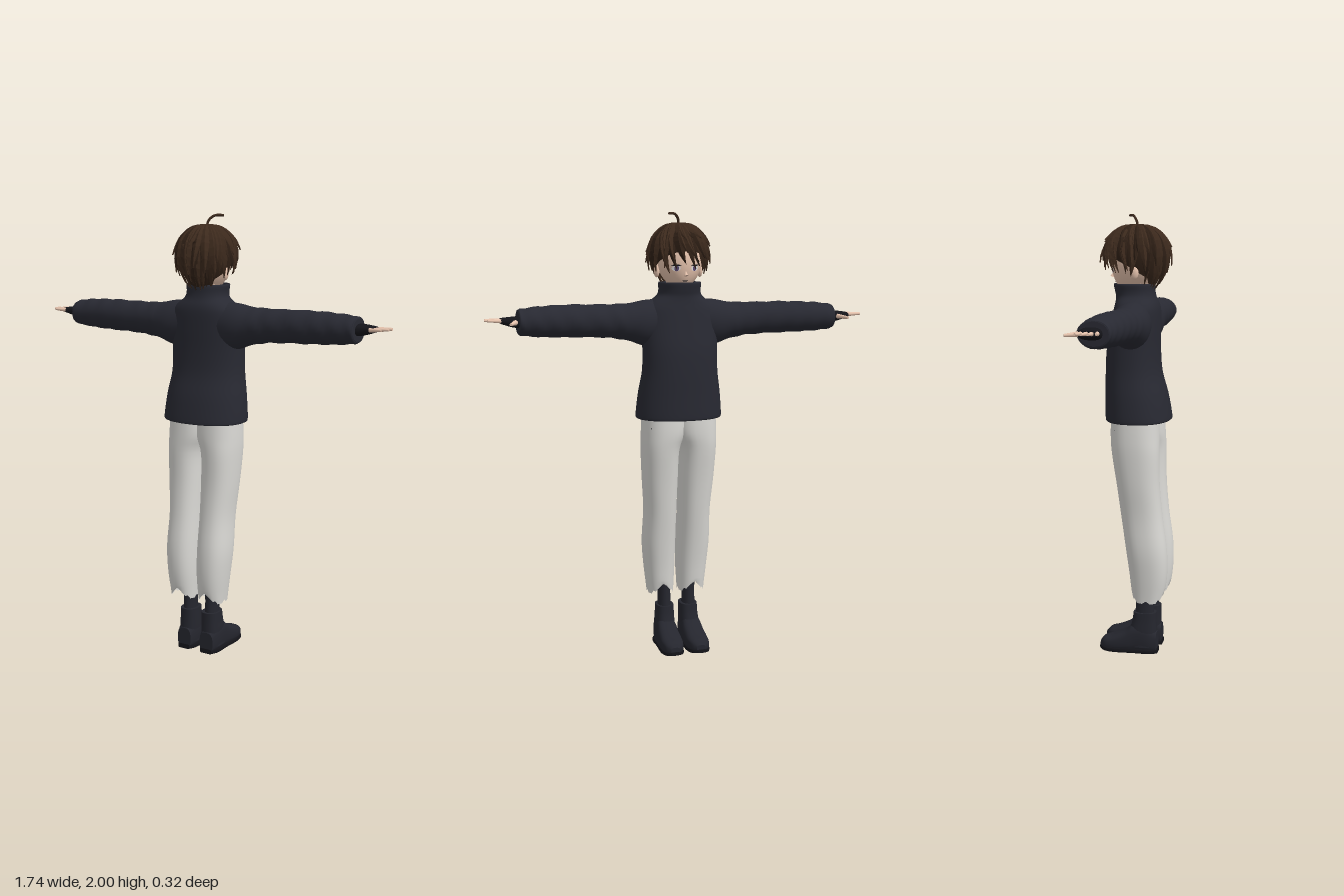
import * as THREE from 'three';
import { mergeGeometries } from 'three/addons/utils/BufferGeometryUtils.js';

const mat = (name, color, side = THREE.FrontSide) => {
  const m = new THREE.MeshStandardMaterial({ color, side });
  m.name = name;
  return m;
};

// Smooth loft along an axis; rows are [t, aMin, aMax, bMin, bMax], p is the squareness of the section
function loft(axis, rows, { n = 28, p = 2, sub = 4, caps = true, s = 1, warp = null } = {}) {
  const curve = k => new THREE.CatmullRomCurve3(rows.map(r => new THREE.Vector3(r[0], r[k], r[k + 1])), false, 'catmullrom');
  const A = curve(1), B = curve(3), steps = (rows.length - 1) * sub;
  const pos = [], idx = [];
  const put = (t, a, b) => {
    const v = axis === 'y' ? [a, t, b] : axis === 'x' ? [t, a, b] : [a, b, t];
    pos.push(v[0] * s, v[1], v[2]);
  };
  const pw = c => Math.sign(c) * Math.abs(c) ** (2 / p);
  const ring = u => {
    const a = A.getPoint(u), b = B.getPoint(u);
    for (let j = 0; j < n; j++) {
      const q = j / n * Math.PI * 2, c = pw(Math.cos(q)), d = pw(Math.sin(q));
      const w = warp ? warp(u, q, j) : { t: 0, k: 1 };
      put(a.x + w.t, (a.y + a.z) / 2 + (a.z - a.y) / 2 * c * w.k, (b.y + b.z) / 2 + (b.z - b.y) / 2 * d * w.k);
    }
    return [a.x, (a.y + a.z) / 2, (b.y + b.z) / 2];
  };
  for (let i = 0; i <= steps; i++) ring(i / steps);
  for (let i = 0; i < steps; i++) for (let j = 0; j < n; j++) {
    const k = (j + 1) % n, o = i * n;
    idx.push(o + j, o + k, o + n + j, o + k, o + n + k, o + n + j);
  }
  if (caps) for (const e of [0, 1]) {
    const o = pos.length / 3, c = ring(e);
    put(...c);
    for (let j = 0; j < n; j++) {
      const k = (j + 1) % n;
      idx.push(o + n, o + (e ? j : k), o + (e ? k : j));
    }
  }
  // Turn all faces outward
  const P = i => new THREE.Vector3().fromArray(pos, i * 3), base = P(0).add(P(n >> 1)).multiplyScalar(0.5);
  let vol = 0;
  for (let i = 0; i < idx.length; i += 3) {
    const [x, y, z] = [0, 1, 2].map(k => P(idx[i + k]).sub(base));
    vol += x.dot(y.cross(z));
  }
  if (vol < 0) for (let i = 0; i < idx.length; i += 3) [idx[i], idx[i + 1]] = [idx[i + 1], idx[i]];
  const g = new THREE.BufferGeometry();
  g.setAttribute('position', new THREE.Float32BufferAttribute(pos, 3));
  g.setIndex(idx);
  g.computeVertexNormals();
  return g;
}

// Tapered rod between two points
function rod(p, q, r0, r1) {
  const a = new THREE.Vector3(...p), b = new THREE.Vector3(...q), d = b.clone().sub(a);
  const g = new THREE.CylinderGeometry(r1, r0, d.length(), 10);
  g.applyQuaternion(new THREE.Quaternion().setFromUnitVectors(new THREE.Vector3(0, 1, 0), d.normalize()));
  return g.translate(...a.add(b).multiplyScalar(0.5).toArray());
}

// Face surface shared by the head and the painted features
const HEAD = { y: 1.785, z: -0.008 };
const taper = ny => ny < 0 ? 1 - 0.38 * ny * ny : 1;
function faceZ(x, y) {
  const ny = (y - HEAD.y) / 0.13, nx = x / (0.1 * taper(ny));
  return HEAD.z - 0.108 * Math.sqrt(Math.max(0, 1 - nx * nx - ny * ny)) - (ny < 0 ? 0.02 * ny * ny : 0);
}
function facePatch(x, y, w, h, lift) {
  const g = new THREE.CircleGeometry(1, 20).scale(w, h, 1).rotateY(Math.PI).translate(x, y, 0);
  const p = g.attributes.position;
  for (let i = 0; i < p.count; i++) p.setZ(i, faceZ(p.getX(i), p.getY(i)) - lift);
  g.computeVertexNormals();
  return g;
}

// Hair envelope: phi = 0 is the face side, t runs from crown to nape
const hairProfile = new THREE.CatmullRomCurve3(
  [[0, 1.955], [0.42, 1.945], [0.76, 1.912], [0.95, 1.868], [1, 1.82], [0.94, 1.77], [0.78, 1.72], [0.5, 1.665]]
    .map(([r, y]) => new THREE.Vector3(r, y, 0)));
function hairPoint(phi, t, lift = 0) {
  const q = hairProfile.getPoint(Math.min(t, 1)), c = Math.cos(phi);
  return new THREE.Vector3(Math.sin(phi) * q.x * (0.12 + lift), q.y, -c * q.x * ((c > 0 ? 0.142 : 0.132) + lift));
}
// One pointed lock with a raised ridge
function lock(phi, sweep, t0, t1, width, lift, flare) {
  const pos = [], idx = [], N = 8;
  for (let i = 0; i <= N; i++) {
    const u = i / N, f = phi + sweep * u * u, w = width * Math.min(1, 0.35 + u * 2.2) * (1 - u ** 2.2);
    const c = hairPoint(f, t0 + (t1 - t0) * u, lift + flare * u ** 3);
    const side = new THREE.Vector3(Math.cos(f), 0, Math.sin(f)), out = new THREE.Vector3(Math.sin(f), 0.4, -Math.cos(f));
    for (const k of [-1, 0, 1])
      pos.push(...c.clone().addScaledVector(side, k * w).addScaledVector(out, k ? -0.005 : 0.35 * w).toArray());
    if (i < N) for (const k of [0, 1]) {
      const o = i * 3 + k;
      idx.push(o, o + 3, o + 1, o + 1, o + 3, o + 4);
    }
  }
  const g = new THREE.BufferGeometry();
  g.setAttribute('position', new THREE.Float32BufferAttribute(pos, 3));
  g.setIndex(idx);
  const flat = g.toNonIndexed();
  flat.computeVertexNormals();
  return flat;
}

export function createModel() {
  const root = new THREE.Group();
  const two = THREE.DoubleSide;
  const jacket = mat('jacket navy', 0x282932, two), trousers = mat('trouser grey', 0xd9d8d4, two);
  const boot = mat('boot charcoal', 0x25262e), skin = mat('skin', 0xe6c3ad), black = mat('dark detail', 0x15151a, two);
  const hair = mat('hair brown', 0x3d2a1d, two), hairDark = mat('hair shade brown', 0x2e1f15, two);
  const white = mat('eye white', 0xeeeaea, two), iris = mat('iris violet', 0x5b4a72, two);
  const add = (name, geo, material) => {
    const m = new THREE.Mesh(geo, material);
    m.name = name;
    root.add(m);
  };

  // Jacket body with stand collar folded inward
  add('jacketBody', loft('y', [
    [1.085, -0.19, 0.19, -0.135, 0.15], [1.1, -0.196, 0.196, -0.14, 0.153], [1.2, -0.187, 0.187, -0.14, 0.135],
    [1.3, -0.172, 0.172, -0.14, 0.108], [1.4, -0.17, 0.17, -0.135, 0.1], [1.5, -0.172, 0.172, -0.118, 0.1],
    [1.57, -0.165, 0.165, -0.105, 0.1], [1.605, -0.14, 0.14, -0.098, 0.095], [1.635, -0.102, 0.102, -0.095, 0.083],
    [1.66, -0.093, 0.093, -0.1, 0.078], [1.69, -0.095, 0.095, -0.106, 0.077], [1.692, -0.087, 0.087, -0.098, 0.069],
    [1.65, -0.083, 0.083, -0.09, 0.066]], { n: 40, p: 2.25 }), jacket);

  // Head, neck and face
  const head = new THREE.SphereGeometry(1, 32, 24), hp = head.attributes.position;
  for (let i = 0; i < hp.count; i++) {
    const x = hp.getX(i), y = hp.getY(i), z = hp.getZ(i);
    hp.setXYZ(i, x * 0.1 * taper(y), HEAD.y + y * 0.13, HEAD.z + z * 0.108 - (y < 0 ? 0.02 * y * y : 0));
  }
  head.computeVertexNormals();
  add('head', head, skin);
  add('neck', rod([0, 1.6, 0.005], [0, 1.75, 0.005], 0.058, 0.052), skin);
  add('nose', new THREE.ConeGeometry(0.009, 0.024, 8).rotateX(0.35).translate(0, 1.736, faceZ(0, 1.736) - 0.002), skin);
  add('mouth', facePatch(0, 1.702, 0.014, 0.002, 0.002), black);

  for (const s of [1, -1]) {
    const side = s > 0 ? 'left' : 'right';
    add(side + 'EyeWhite', facePatch(s * 0.042, 1.757, 0.018, 0.013, 0.002), white);
    add(side + 'Iris', facePatch(s * 0.041, 1.757, 0.009, 0.013, 0.003), iris);
    add(side + 'Lash', facePatch(s * 0.043, 1.77, 0.021, 0.003, 0.004), black);
    add(side + 'Ear', new THREE.SphereGeometry(1, 12, 10).scale(0.012, 0.03, 0.019).translate(s * 0.1, 1.745, 0.005), skin);

    // Padded sleeve with soft folds, and the inner cuff
    add(side + 'Sleeve', loft('x', [
      [0.07, 1.43, 1.622, -0.08, 0.08], [0.16, 1.415, 1.617, -0.09, 0.088], [0.24, 1.44, 1.603, -0.084, 0.08],
      [0.35, 1.455, 1.601, -0.075, 0.07], [0.5, 1.46, 1.602, -0.082, 0.066], [0.62, 1.464, 1.598, -0.088, 0.055],
      [0.715, 1.473, 1.588, -0.09, 0.047], [0.728, 1.482, 1.58, -0.082, 0.04]], {
      s, sub: 6, warp: (u, q) => ({ t: 0, k: 1 + (u > 0.3 && u < 0.95 ? 0.03 * Math.sin(u * 60 + 2 * Math.sin(q * 2)) : 0) }),
    }), jacket);
    add(side + 'Glove', loft('x', [
      [0.7, 1.503, 1.56, -0.075, 0.02], [0.75, 1.51, 1.556, -0.078, 0.012], [0.785, 1.52, 1.552, -0.07, 0.014],
      [0.803, 1.526, 1.549, -0.064, 0.018]], { s, n: 20, p: 2.6 }), black);

    // Fingers and thumb
    const fingers = [[-0.052, -0.06, 0.862], [-0.031, -0.034, 0.872], [-0.01, -0.008, 0.868], [0.009, 0.019, 0.845]]
      .map(([z0, z1, x]) => rod([s * 0.79, 1.538, z0], [s * x, 1.541, z1], 0.0095, 0.005));
    fingers.push(rod([s * 0.742, 1.533, -0.068], [s * 0.772, 1.528, -0.128], 0.012, 0.006));
    add(side + 'Fingers', mergeGeometries(fingers), skin);

    // Trouser leg with a ragged, notched hem
    add(side + 'TrouserLeg', loft('y', [
      [1.11, -0.03, 0.168, -0.105, 0.108], [1.02, -0.025, 0.172, -0.106, 0.113], [0.94, 0.002, 0.172, -0.098, 0.115],
      [0.8, 0.006, 0.165, -0.077, 0.117], [0.65, 0.008, 0.154, -0.057, 0.13], [0.5, 0.007, 0.157, -0.036, 0.15],
      [0.38, 0.008, 0.148, -0.02, 0.152], [0.26, 0.014, 0.134, -0.008, 0.137]], {
      s, n: 32, p: 2.3, caps: false,
      warp: (u, q, j) => ({
        t: u > 0.95 ? (u - 0.95) * 20 * (0.045 * Math.max(0, Math.cos(2 * (Math.abs(q - Math.PI) - 1.25)) * -1) ** 0
          * Math.abs(Math.sin(q)) ** 6 + (j % 4 === 0 ? 0.012 : 0) - 0.008) : 0,
        k: 1,
      }),
    }), trousers);
    const pocket = new THREE.BoxGeometry(0.008, 0.014, 0.026).rotateY(s * 0.5).translate(s * 0.15, 1.045, -0.062);
    add(side + 'PocketMark', pocket, black);

    // Sock and boot
    add(side + 'Sock', loft('y', [[0.16, 0.028, 0.09, 0, 0.09], [0.26, 0.03, 0.088, 0.005, 0.088],
      [0.36, 0.028, 0.095, 0.005, 0.1]], { s, n: 20 }), boot);
    add(side + 'BootShaft', loft('y', [[0.03, 0.014, 0.106, -0.035, 0.104], [0.1, 0.014, 0.104, -0.025, 0.102],
      [0.15, 0.015, 0.1, -0.012, 0.1], [0.192, 0.016, 0.098, -0.006, 0.1]], { s, n: 24, p: 2.5 }), boot);
    add(side + 'BootFoot', loft('z', [[0.104, 0.025, 0.095, 0, 0.1], [0.06, 0.014, 0.106, 0, 0.13],
      [0, 0.013, 0.107, 0, 0.135], [-0.04, 0.011, 0.11, 0.002, 0.105], [-0.1, 0.01, 0.112, 0.004, 0.077],
      [-0.14, 0.02, 0.104, 0.008, 0.065], [-0.16, 0.04, 0.082, 0.015, 0.045]], { s, n: 24, p: 2.8 }), boot);
    add(side + 'Sole', loft('z', [[0.108, 0.03, 0.09, 0, 0.022], [0.07, 0.012, 0.108, 0, 0.022], [0, 0.011, 0.109, 0, 0.022],
      [-0.09, 0.008, 0.114, 0, 0.022], [-0.14, 0.018, 0.106, 0.003, 0.024], [-0.163, 0.045, 0.08, 0.008, 0.024]],
    { s, n: 20, p: 6 }), black);
  }

  // Hair cap, cut higher over the face and ears
  const reach = phi => 0.74 - 0.2 * Math.cos(phi) + (Math.cos(phi) < -0.6 ? 0.04 : 0);
  const cap = new THREE.PlaneGeometry(1, 1, 40, 14), cp = cap.attributes.position;
  for (let i = 0; i < cp.count; i++)
    cp.setXYZ(i, ...hairPoint((cp.getX(i) + 0.5) * Math.PI * 2, (0.5 - cp.getY(i)) * reach((cp.getX(i) + 0.5) * Math.PI * 2), -0.006).toArray());
  cap.computeVertexNormals();
  add('hairCap', cap, hairDark);

  // Layered locks around the crown, fringe swept to one side
  let seed = 7;
  const rnd = () => (seed = (seed * 16807) % 2147483647) / 2147483647;
  const light = [], dark = [];
  for (const [count, t0, len, width, lift] of [[22, 0.25, 0.06, 0.022, 0], [20, 0.08, -0.06, 0.022, 0.005], [18, 0.01, -0.22, 0.02, 0.008]])
    for (let i = 0; i < count; i++) {
      const phi = (i + rnd() * 0.6) / count * Math.PI * 2, front = Math.cos(phi) > 0.3;
      const t1 = Math.min(1, reach(phi) + len + (front ? 0.1 : 0) + (rnd() - 0.5) * 0.12);
      (rnd() < 0.7 ? light : dark).push(
        lock(phi, front ? -0.3 : (rnd() - 0.5) * 0.3, t0, t1, width * (0.8 + rnd() * 0.5), lift, 0.012 + rnd() * 0.012));
    }
  // Flicked tips at the sides, back and fringe
  for (const [phi, sweep, t1, flare] of [[1.5, 0.1, 0.68, 0.035], [-1.5, -0.1, 0.7, 0.035], [1.9, 0.1, 0.78, 0.03], [-1.9, -0.1, 0.78, 0.03],
    [3.0, 0.2, 0.47, 0.025], [0.2, -0.5, 0.66, 0.03], [-0.35, -0.4, 0.73, 0.02], [-0.7, -0.3, 0.78, 0.02], [0.75, 0.1, 0.74, 0.012]])
    light.push(lock(phi, sweep, 0.1, t1, 0.024, 0.005, flare));
  add('hairLocks', mergeGeometries(light), hair);
  add('hairShadeLocks', mergeGeometries(dark), hairDark);
  const wisp = new THREE.CatmullRomCurve3([[0, 1.945, 0], [0.006, 1.972, -0.008], [0.026, 1.992, -0.026], [0.058, 1.993, -0.048]]
    .map(p => new THREE.Vector3(...p)));
  add('hairWisp', new THREE.TubeGeometry(wisp, 14, 0.006, 6), hair);
  return root;
}
